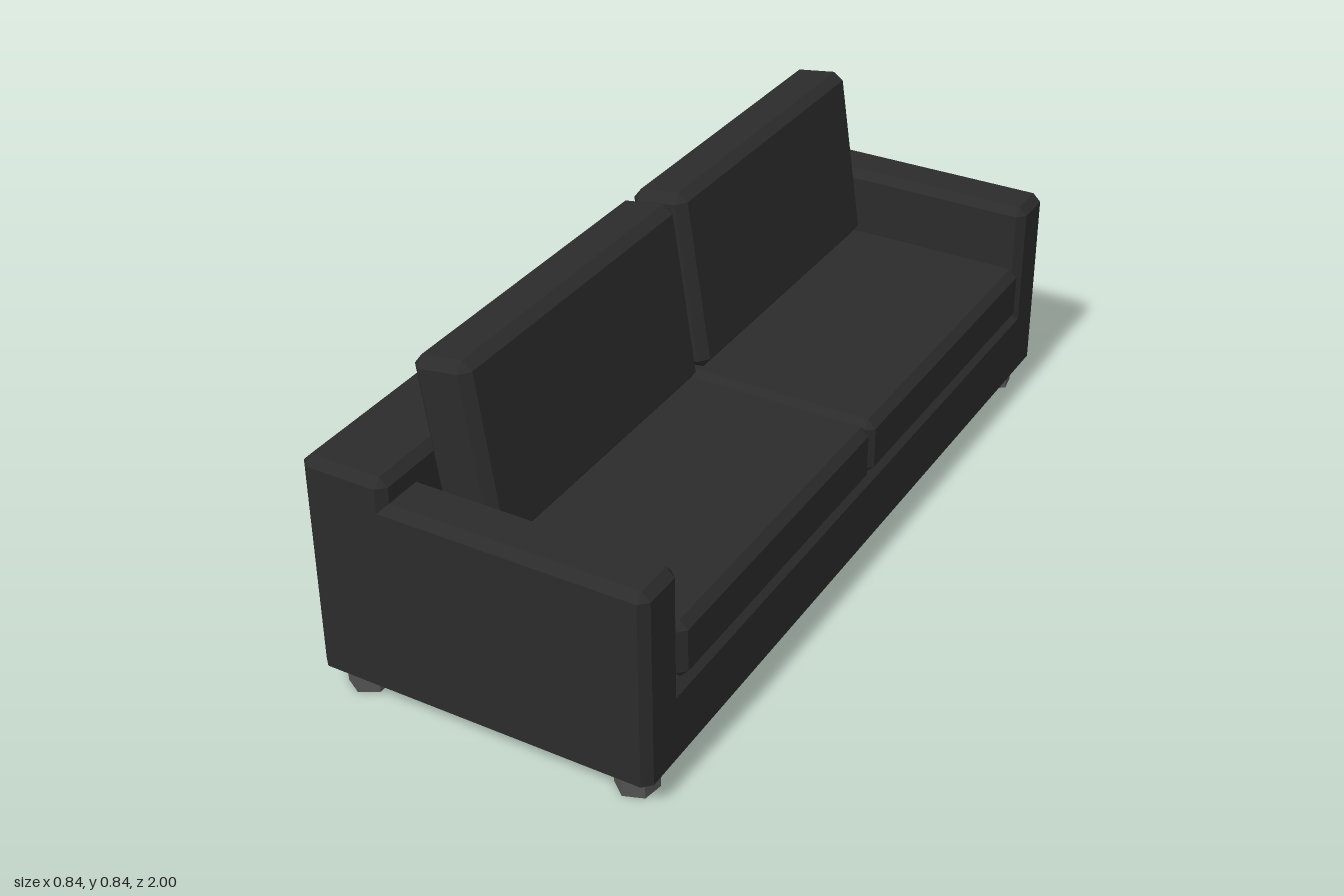
import * as THREE from 'three';
import { ConvexGeometry } from 'three/addons/geometries/ConvexGeometry.js';

const fabric = new THREE.MeshStandardMaterial({ color: 0x2b2b2b });
fabric.name = 'charcoalFabric';
const legGrey = new THREE.MeshStandardMaterial({ color: 0x525252 });
legGrey.name = 'legGrey';

// Box with chamfered edges; flatBottom leaves the lower edges square
function chamferBox(name, [w, h, d], [x, y, z], c = 0.02, flatBottom = false) {
  const points = [];
  for (const sx of [-1, 1]) for (const sy of [-1, 1]) for (const sz of [-1, 1]) {
    const flat = flatBottom && sy < 0;
    const add = (ix, iy, iz) => points.push(new THREE.Vector3(
      sx * (w / 2 - ix), sy * (h / 2 - iy), sz * (d / 2 - iz)));
    add(0, flat ? 0 : c, c);
    add(c, flat ? 0 : c, 0);
    if (!flat) add(c, 0, c);
  }
  const mesh = new THREE.Mesh(new ConvexGeometry(points), fabric);
  mesh.name = name;
  mesh.position.set(x, y, z);
  return mesh;
}

// Same box given by its extents
function chamferSpan(name, [x0, x1], [y0, y1], [z0, z1], flatBottom) {
  return chamferBox(name, [x1 - x0, y1 - y0, z1 - z0],
    [(x0 + x1) / 2, (y0 + y1) / 2, (z0 + z1) / 2], 0.02, flatBottom);
}

export function createModel() {
  const sofa = new THREE.Group();
  sofa.name = 'sofa';

  // Frame: backrest, base and two arms, the seat opening towards +x
  sofa.add(chamferSpan('backrest', [-0.42, -0.205], [0.07, 0.612], [-1, 1], true));
  sofa.add(chamferSpan('base', [-0.35, 0.416], [0.07, 0.25], [-0.95, 0.95], true));
  for (const s of [-1, 1]) {
    const span = s > 0 ? [0.868, 1] : [-1, -0.868];
    sofa.add(chamferSpan('arm', [-0.35, 0.416], [0.07, 0.553], span, true));
  }

  // Seat cushions and leaning back cushions
  for (const s of [-1, 1]) {
    sofa.add(chamferSpan('seatCushion', [-0.2, 0.42], [0.252, 0.396],
      s > 0 ? [0.003, 0.865] : [-0.862, 0.006]));
    const cushion = chamferBox('backCushion', [0.145, 0.45, 0.836],
      [-0.128, 0.613, s > 0 ? 0.433 : -0.427], 0.022);
    cushion.rotation.z = 0.146;
    sofa.add(cushion);
  }

  // Six-sided legs
  const legGeometry = new THREE.CylinderGeometry(0.05, 0.05, 0.075, 6).toNonIndexed();
  legGeometry.computeVertexNormals();
  for (const x of [-0.346, 0.342]) for (const s of [-1, 1]) {
    const leg = new THREE.Mesh(legGeometry, legGrey);
    leg.name = 'leg';
    leg.position.set(x, 0.0375, s * 0.925);
    leg.rotation.y = x > 0 ? -s * 0.17 : 0;
    sofa.add(leg);
  }
  return sofa;
}
